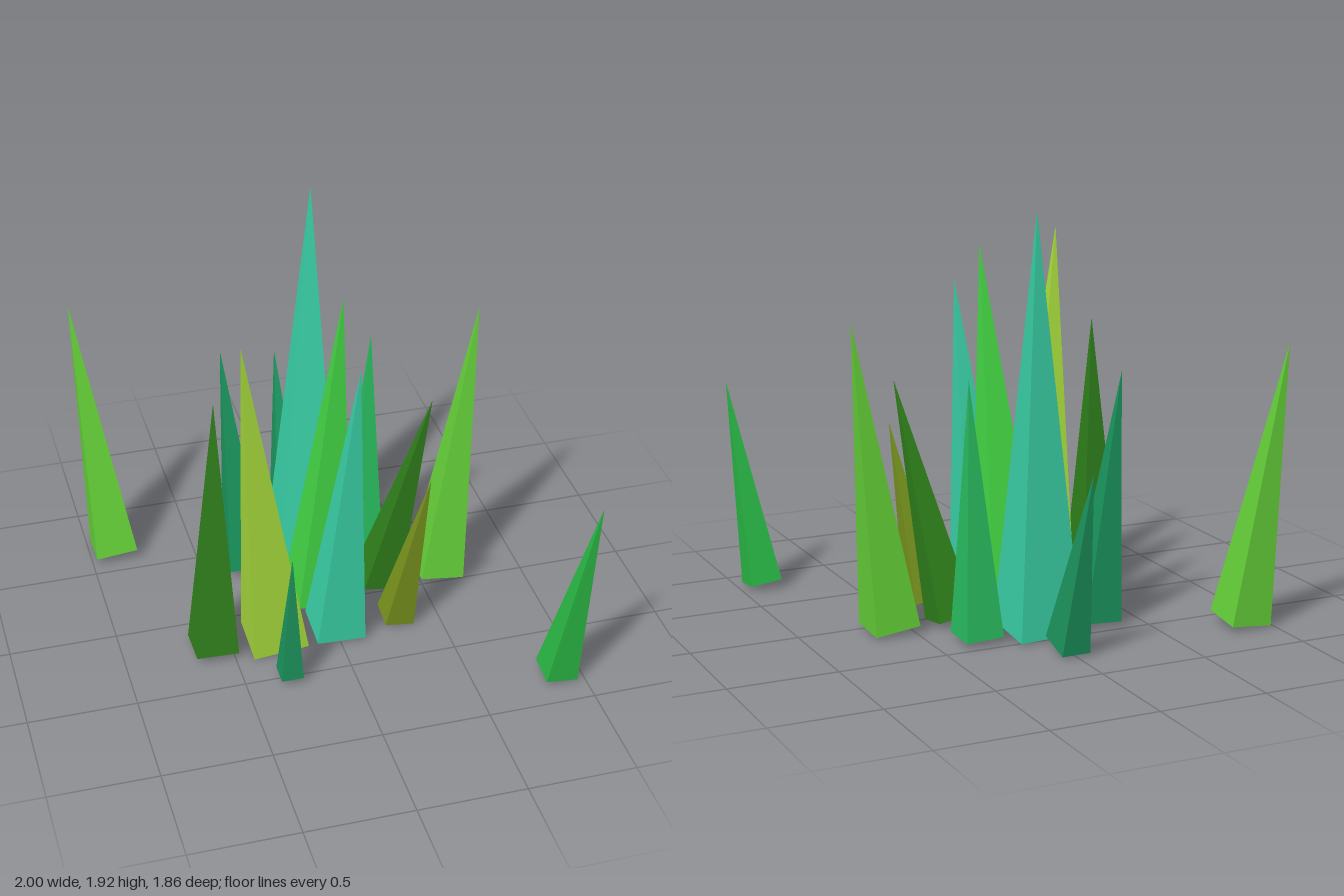
import * as THREE from 'three';

const palette = {
  leafGreen: 0x64d038,
  deepTeal: 0x1b955e,
  seaGreen: 0x29bc5f,
  turquoise: 0x39cfa5,
  brightGreen: 0x44d744,
  forestGreen: 0x2f7f1b,
  limeOlive: 0xa6d93c,
  darkOlive: 0x77921d,
  emerald: 0x2ab745,
};

// name, colour, base centre [x, y, z], base width, tip [x, y, z], optional base depth
const blades = [
  ['farLeftBackBlade', 'leafGreen', [-0.88, 0.03, -0.67], 0.2, [-1.0, 1.32, -0.83]],
  ['rearBlade', 'deepTeal', [0.004, 0.035, -0.685], 0.135, [0.012, 0.86, -0.93], 0.17],
  ['backLeftBlade', 'deepTeal', [-0.288, 0.035, -0.38], 0.178, [-0.36, 1.18, -0.475]],
  ['backRightBlade', 'seaGreen', [0.298, 0.03, -0.378], 0.178, [0.35, 1.19, -0.41]],
  ['tallBackBlade', 'turquoise', [0.003, 0.028, -0.38], 0.295, [0.1, 1.925, -0.56]],
  ['centreBlade', 'brightGreen', [0.003, 0.025, -0.078], 0.26, [0.073, 1.695, 0.08]],
  ['innerRightBlade', 'forestGreen', [0.298, 0.03, -0.083], 0.178, [0.492, 1.11, 0.092]],
  ['outerRightBlade', 'leafGreen', [0.595, 0.03, -0.083], 0.212, [0.783, 1.425, -0.14]],
  ['outerLeftBlade', 'forestGreen', [-0.583, 0.03, 0.215], 0.197, [-0.535, 1.303, 0.15]],
  ['tallFrontLeftBlade', 'limeOlive', [-0.29, 0.028, 0.215], 0.26, [-0.46, 1.71, 0.38]],
  ['frontBlade', 'turquoise', [0.003, 0.025, 0.216], 0.23, [0.073, 1.495, 0.36]],
  ['frontRightBlade', 'darkOlive', [0.3, 0.023, 0.214], 0.14, [0.411, 0.853, 0.348]],
  ['smallFrontBlade', 'deepTeal', [-0.293, 0.03, 0.508], 0.103, [-0.29, 0.7, 0.56]],
  ['farRightFrontBlade', 'emerald', [0.888, 0.025, 0.805], 0.15, [1.0, 0.985, 0.932]],
];

// Four-sided spike, square to its own leaning axis
function makeBlade(base, width, tip, depth = width) {
  const from = new THREE.Vector3(...base);
  const axis = new THREE.Vector3(...tip).sub(from);
  const length = axis.length();
  const cone = new THREE.ConeGeometry(Math.SQRT1_2, length, 4, 1, false, Math.PI / 4);
  cone.translate(0, length / 2, 0);
  cone.scale(width, 1, depth);
  const lean = new THREE.Quaternion().setFromUnitVectors(new THREE.Vector3(0, 1, 0), axis.normalize());
  cone.applyQuaternion(lean);
  cone.translate(from.x, from.y, from.z);
  const flat = cone.toNonIndexed();
  flat.computeVertexNormals();
  return flat;
}

export function createModel() {
  const group = new THREE.Group();
  group.name = 'grassTuft';

  const materials = {};
  for (const [name, color] of Object.entries(palette)) {
    materials[name] = new THREE.MeshStandardMaterial({ color, flatShading: true });
    materials[name].name = name;
  }

  for (const [name, color, base, width, tip, depth] of blades) {
    const mesh = new THREE.Mesh(makeBlade(base, width, tip, depth), materials[color]);
    mesh.name = name;
    group.add(mesh);
  }
  return group;
}
